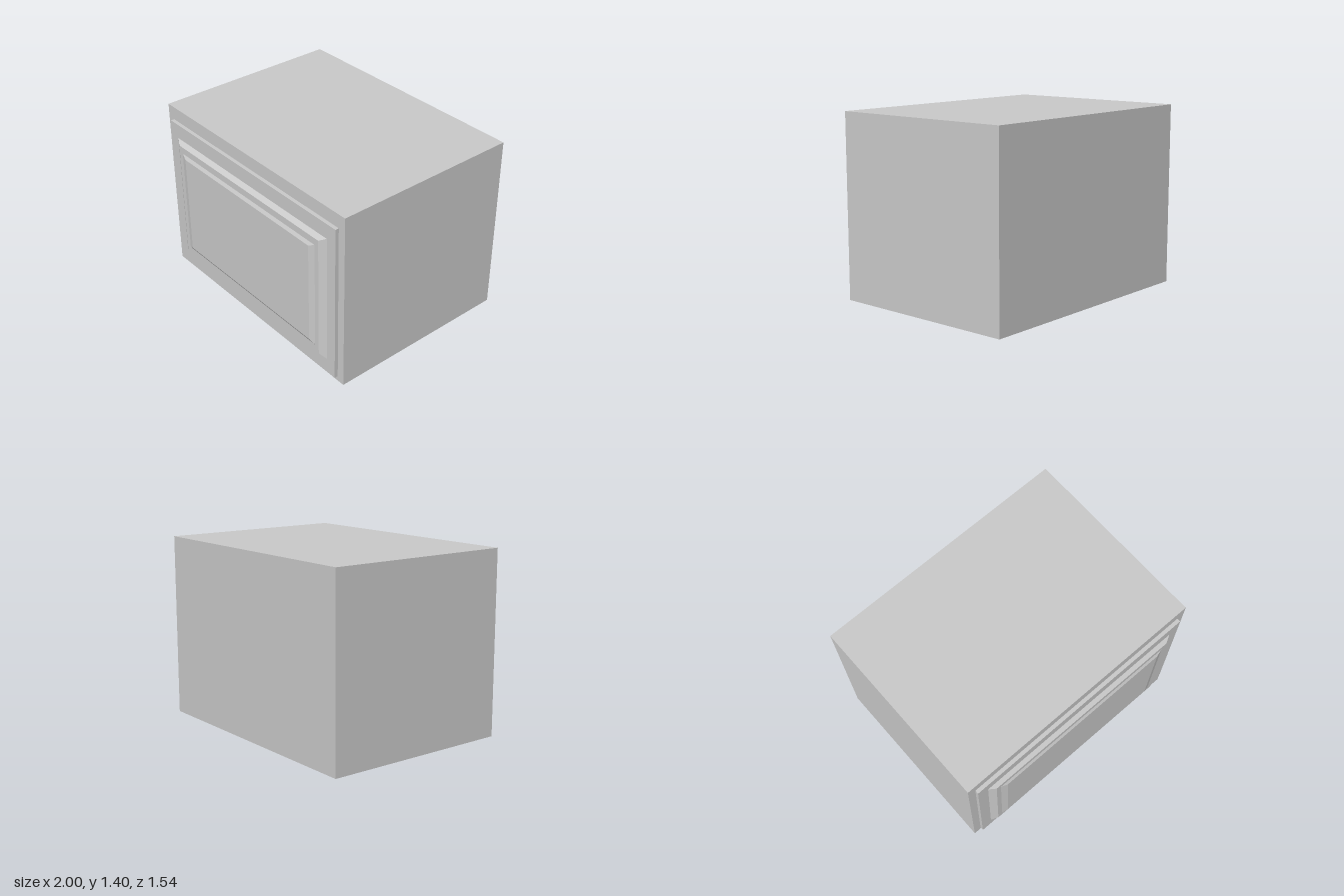
import * as THREE from 'three';

const material = new THREE.MeshStandardMaterial({ color: 0xcccccc, flatShading: true });

// Block from z0 to z1 whose front face may be smaller than its back face.
// back and front are [halfWidth, bottom, top].
function block(name, z0, z1, back, front = back) {
  const geometry = new THREE.BoxGeometry(2, 1, 1);
  const p = geometry.attributes.position;
  for (let i = 0; i < p.count; i++) {
    const isFront = p.getZ(i) > 0;
    const [halfWidth, bottom, top] = isFront ? front : back;
    p.setXYZ(i, Math.sign(p.getX(i)) * halfWidth, p.getY(i) > 0 ? top : bottom, isFront ? z1 : z0);
  }
  geometry.computeVertexNormals();
  const mesh = new THREE.Mesh(geometry, material);
  mesh.name = name;
  return mesh;
}

export function createModel() {
  const cabinet = new THREE.Group();
  cabinet.name = 'cabinet';

  // Plain carcass
  cabinet.add(block('body', -0.77, 0.7, [1, 0, 1.4]));

  // Door slab with two bevelled raised panels
  const door = new THREE.Group();
  door.name = 'door';
  door.add(
    block('doorSlab', 0.7, 0.728, [0.94, 0.04, 1.295]),
    block('outerPanel', 0.728, 0.757, [0.855, 0.16, 1.18], [0.803, 0.19, 1.15]),
    block('innerPanel', 0.757, 0.77, [0.765, 0.245, 1.097], [0.715, 0.27, 1.07]),
  );
  cabinet.add(door);

  return cabinet;
}
